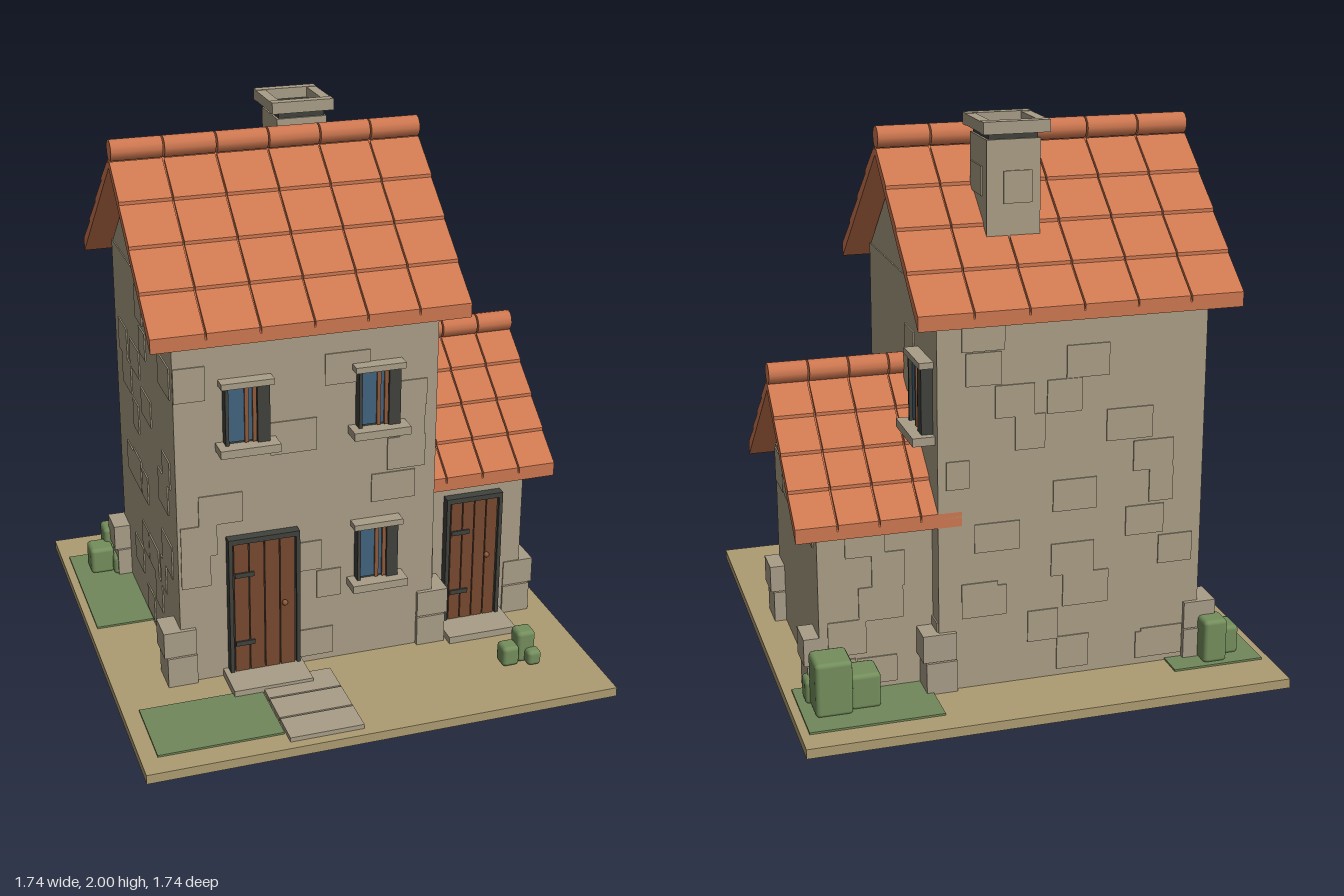
import * as THREE from 'three';
import { RoundedBoxGeometry } from 'three/addons/geometries/RoundedBoxGeometry.js';

const mat = (name, color, side = THREE.FrontSide) => {
  const m = new THREE.MeshStandardMaterial({ color, side });
  m.name = name;
  return m;
};

export function createModel() {
  const M = {
    wall: mat('wall stone', 0xaa9e86),
    trim: mat('trim stone', 0xa99d88),
    tile: mat('roof tile', 0xcd7750),
    earth: mat('earth', 0xae9c72),
    grass: mat('grass', 0x71885a),
    bush: mat('bush leaf', 0x748e5c),
    wood: mat('door wood', 0x77492f),
    dark: mat('dark metal', 0x40423d),
    glass: mat('window glass', 0x40647f),
    bar: mat('window bar', 0x8f5a3a),
  };
  const root = new THREE.Group();
  root.name = 'cottage';
  const group = (name, parent = root) => {
    const g = new THREE.Group();
    g.name = name;
    parent.add(g);
    return g;
  };
  const add = (parent, name, geo, m) => {
    const mesh = new THREE.Mesh(geo, m);
    mesh.name = name;
    parent.add(mesh);
    return mesh;
  };
  // box given by its minimum and maximum on each axis
  const box = (parent, name, m, x0, x1, y0, y1, z0, z1) => {
    const b = add(parent, name, new THREE.BoxGeometry(x1 - x0, y1 - y0, z1 - z0), m);
    b.position.set((x0 + x1) / 2, (y0 + y1) / 2, (z0 + z1) / 2);
    return b;
  };
  // prism along x from a [z, y] outline
  const prism = (parent, name, m, pts, x0, x1) => {
    const shape = new THREE.Shape(pts.map(([z, y]) => new THREE.Vector2(-z, y)));
    const geo = new THREE.ExtrudeGeometry(shape, { depth: x1 - x0, bevelEnabled: false });
    geo.rotateY(Math.PI / 2).translate(x0, 0, 0);
    return add(parent, name, geo, m);
  };
  let seed = 11;
  const rnd = () => (seed = (seed * 16807) % 2147483647) / 2147483647;

  // ground and planting patches
  box(root, 'ground', M.earth, -0.87, 0.87, 0, 0.035, -0.87, 0.87);
  [[-0.84, -0.5, -0.7, -0.11], [0.37, 0.84, -0.775, -0.45], [-0.81, -0.36, 0.49, 0.78]]
    .forEach(([x0, x1, z0, z1]) => box(root, 'grassPatch', M.grass, x0, x1, 0.034, 0.042, z0, z1));

  // walls with gables
  const block = (name, x0, x1, z0, z1, top, zc, apex) => {
    const g = group(name);
    box(g, 'walls', M.wall, x0, x1, 0.03, top, z0, z1);
    prism(g, 'gable', M.wall, [[z0 + 0.005, top], [z1 - 0.005, top], [zc, apex]], x0 + 0.004, x1 - 0.004);
    return g;
  };
  const house = block('mainHouse', -0.62, 0.345, -0.6, 0.355, 1.43, -0.12, 1.85);
  const annex = block('annex', 0.34, 0.75, -0.52, 0.245, 0.71, -0.135, 1.035);

  // slightly raised stones scattered on a wall facing local +z
  const stones = (parent, x, z, turn, u0, u1, v1, n) => {
    const g = group('raisedStones', parent);
    g.position.set(x, 0, z);
    g.rotation.y = turn;
    for (let i = 0; i < n; i++) {
      const w = 0.08 + rnd() * 0.09, h = 0.1 + rnd() * 0.03;
      const u = u0 + rnd() * (u1 - u0 - w);
      const v = 0.06 + Math.floor(((i + rnd()) / n) * (v1 - 0.2) / 0.12) * 0.12;
      box(g, 'stone', M.wall, u, u + w, v, v + h, -0.004, 0.005);
    }
  };
  stones(house, 0, 0.355, 0, -0.62, 0.345, 1.43, 16);
  stones(house, 0, -0.6, Math.PI, -0.345, 0.62, 1.43, 22);
  stones(house, -0.62, 0, -Math.PI / 2, -0.6, 0.355, 1.43, 22);
  stones(house, 0.345, 0, Math.PI / 2, -0.355, 0.6, 1.43, 10);
  stones(annex, 0, -0.52, Math.PI, -0.75, -0.345, 0.7, 6);
  [[0.08, 0.23], [-0.3, 0.06], [-0.465, -0.315]].forEach(([z0, z1]) =>
    box(annex, 'stone', M.wall, 0.746, 0.755, 0.57, 0.7, z0, z1));

  // roof: sloped slab, stepped tile rows and a segmented ridge
  const roof = (name, x0, x1, cols, zc, apex, half, drop) => {
    const g = group(name), rows = 4, w = (x1 - x0) / cols;
    for (const s of [1, -1]) {
      const at = (t, lift) => [zc + s * half * t, apex - drop * t + lift];
      prism(g, 'roofSlab', M.tile, [at(0, 0), at(1, 0), at(1, 0.03), at(0, 0.03)], x0, x1);
      for (let r = 0; r < rows; r++) {
        const a = 0.03 + (r * 0.97) / rows, b = 0.03 + ((r + 1) * 0.97) / rows;
        for (let c = 0; c < cols; c++)
          prism(g, 'roofTile', M.tile, [at(a, 0.025), at(b, 0.025), at(b, 0.052), at(a, 0.04)],
            x0 + c * w + (c ? 0.003 : 0), x0 + (c + 1) * w - (c < cols - 1 ? 0.003 : 0));
      }
    }
    for (let c = 0; c < cols; c++) {
      const ridge = add(g, 'ridgeTile', new THREE.CylinderGeometry(0.039, 0.039, w - 0.006, 12), M.tile);
      ridge.rotation.z = Math.PI / 2;
      ridge.position.set(x0 + (c + 0.5) * w, apex + 0.062, zc);
    }
  };
  roof('mainRoof', -0.71, 0.43, 6, -0.122, 1.846, 0.565, 0.48);
  roof('annexRoof', 0.26, 0.835, 4, -0.135, 1.04, 0.465, 0.395);

  // chimney with an open stone cap
  const chimney = group('chimney');
  box(chimney, 'shaft', M.wall, -0.06, 0.128, 1.5, 1.935, -0.45, -0.255);
  box(chimney, 'flue', M.dark, -0.052, 0.12, 1.93, 1.962, -0.442, -0.263);
  for (const z of [-0.485, -0.275]) box(chimney, 'capBar', M.trim, -0.083, 0.15, 1.958, 2, z, z + 0.037);
  for (const x of [-0.083, 0.113]) box(chimney, 'capBar', M.trim, x, x + 0.037, 1.96, 1.998, -0.46, -0.26);
  box(chimney, 'shaftStone', M.wall, 0.12, 0.133, 1.74, 1.84, -0.4, -0.27);
  box(chimney, 'shaftStone', M.wall, -0.03, 0.07, 1.72, 1.83, -0.455, -0.44);

  // windows, modelled facing local +z with the origin at the bottom centre
  const windowAt = (x, y, z, turn, w, h) => {
    const g = group('window');
    g.position.set(x, y, z);
    g.rotation.y = turn;
    const l = -w / 2, r = w / 2;
    box(g, 'frame', M.dark, l, r, 0, h, -0.01, 0.022);
    box(g, 'leftJamb', M.dark, l, l + 0.012, 0, h, 0, 0.04);
    box(g, 'rightJamb', M.dark, l + w * 0.72, r, 0, h, 0, 0.04);
    box(g, 'glass', M.glass, l + 0.012, l + w * 0.72, 0.008, h - 0.008, 0.02, 0.028);
    for (const t of [0.48, 0.66])
      box(g, 'windowBar', M.bar, l + w * t - 0.007, l + w * t + 0.007, 0.004, h - 0.004, 0.02, 0.036);
    box(g, 'lintel', M.trim, l - 0.015, r + 0.015, h, h + 0.022, -0.01, 0.05);
    box(g, 'sill', M.trim, l - 0.028, r + 0.028, -0.03, 0, -0.01, 0.078);
  };
  windowAt(-0.367, 0.975, 0.355, 0, 0.16, 0.213);
  windowAt(0.115, 0.975, 0.355, 0, 0.155, 0.213);
  windowAt(0.115, 0.365, 0.355, 0, 0.155, 0.21);
  windowAt(0.345, 0.965, -0.455, Math.PI / 2, 0.175, 0.235);

  // plank doors
  const door = (x0, x1, top, z) => {
    const g = group('door');
    box(g, 'doorFrame', M.dark, x0, x1, 0.05, top, z - 0.01, z + 0.025);
    for (const x of [x0, x1 - 0.014]) box(g, 'doorPost', M.dark, x, x + 0.014, 0.05, top, z, z + 0.037);
    box(g, 'doorHead', M.dark, x0, x1, top - 0.02, top, z, z + 0.037);
    const a = x0 + 0.018, p = (x1 - x0 - 0.036) / 4;
    for (let i = 0; i < 4; i++)
      box(g, 'plank', M.wood, a + i * p + 0.002, a + (i + 1) * p - 0.002, 0.06, top - 0.022, z, z + 0.032);
    for (const y of [0.18, top - 0.145])
      box(g, 'hinge', M.dark, a + 0.004, a + 0.075, y - 0.009, y + 0.009, z + 0.03, z + 0.038);
    add(g, 'knob', new THREE.SphereGeometry(0.011, 10, 8), M.bar).position.set(x1 - 0.06, 0.325, z + 0.042);
  };
  door(-0.445, -0.18, 0.605, 0.355);
  door(0.43, 0.655, 0.578, 0.245);

  // doorsteps and path slabs
  box(root, 'doorstep', M.trim, -0.465, -0.17, 0.03, 0.064, 0.35, 0.515);
  box(root, 'annexDoorstep', M.trim, 0.405, 0.675, 0.03, 0.062, 0.24, 0.405);
  for (let i = 0; i < 3; i++)
    box(root, 'pathSlab', M.trim, -0.355, -0.085, 0.03, 0.052, 0.45 + i * 0.13, 0.573 + i * 0.13);

  // stacked corner stones
  [[-0.625, 0.31, -1], [0.345, 0.31, 1], [-0.625, -0.555, -1], [0.345, -0.555, 1],
    [0.745, 0.19, 1], [0.745, -0.46, 1]].forEach(([x, z, s]) => {
    const g = group('cornerStones');
    const dx = -s * 0.006;
    box(g, 'lowerStone', M.trim, x + dx - 0.055, x + dx + 0.055, 0.03, 0.152, z - 0.064, z + 0.064);
    box(g, 'upperStone', M.trim, x - 0.06, x + 0.06, 0.155, 0.256, z - 0.06, z + 0.06);
  });

  // bushes: x, z, width, depth, height
  [[0.562, 0.59, 0.066, 0.07, 0.08], [0.627, 0.575, 0.072, 0.07, 0.125], [0.647, 0.62, 0.054, 0.052, 0.06],
    [-0.73, -0.58, 0.095, 0.1, 0.11], [-0.665, -0.635, 0.09, 0.09, 0.165], [-0.655, -0.54, 0.07, 0.08, 0.08],
    [0.733, -0.62, 0.13, 0.13, 0.2], [0.62, -0.6, 0.11, 0.12, 0.13], [0.775, -0.535, 0.075, 0.08, 0.09],
  ].forEach(([x, z, w, d, h]) => {
    add(root, 'bush', new RoundedBoxGeometry(w, h, d, 2, 0.016), M.bush).position.set(x, 0.036 + h / 2, z);
  });

  return root;
}
